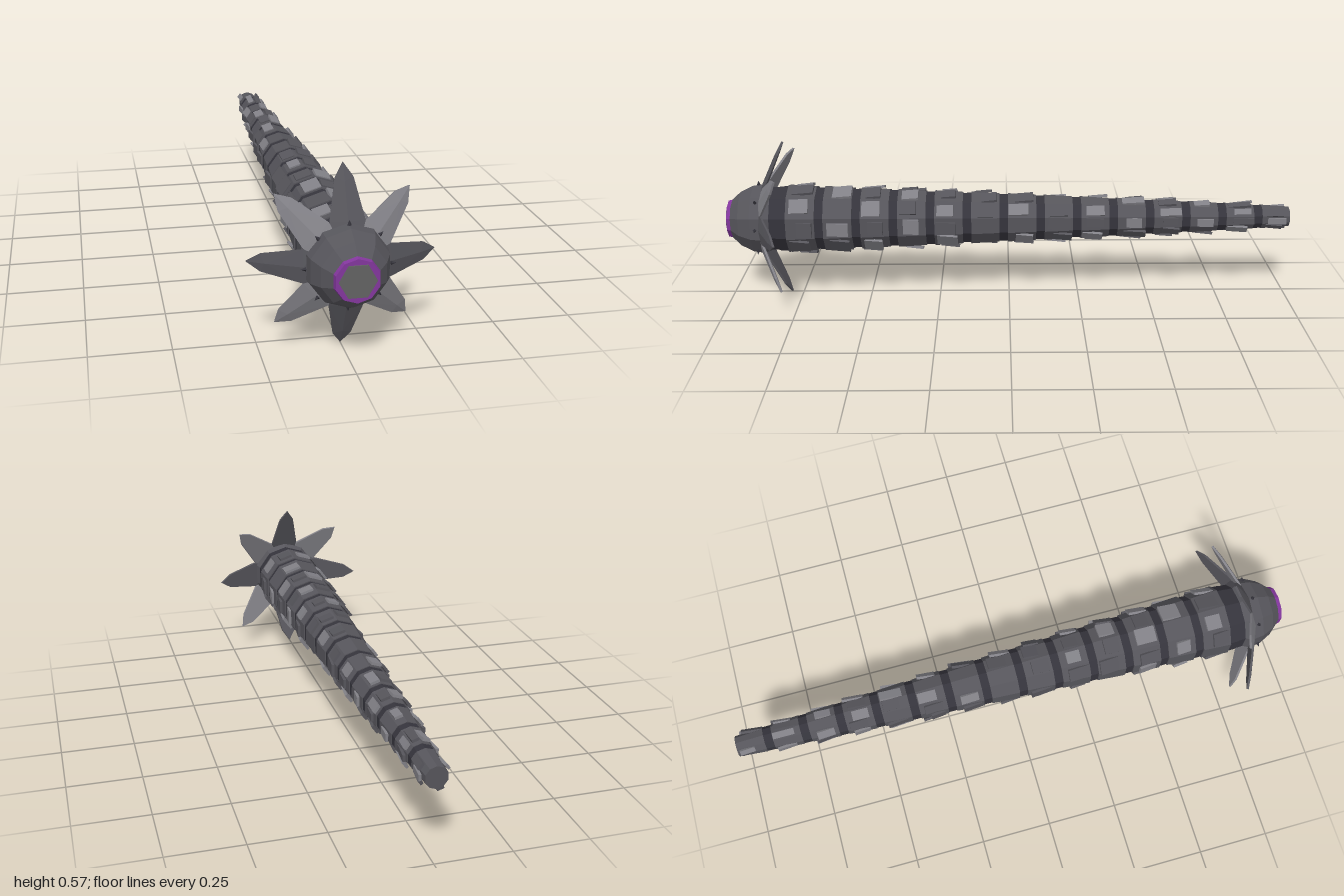
import * as THREE from 'three';
import { ConvexGeometry } from 'three/addons/geometries/ConvexGeometry.js';

const AXIS_Y = 0.285;

function paint(name, color) {
  const m = new THREE.MeshStandardMaterial({ color, flatShading: true });
  m.name = name;
  return m;
}

// small seeded generator for the uneven scales
function seeded(seed) {
  return () => (seed = (seed * 16807) % 2147483647) / 2147483647;
}

export function createModel() {
  const shell = paint('charcoal shell', 0x56555b);
  const dark = paint('dark joint', 0x35343c);
  const pale = paint('pale scale', 0x828187);
  const purple = paint('purple lip', 0x82369c);
  const core = paint('grey core', 0x626262);

  const model = new THREE.Group();
  const body = new THREE.Group();
  body.name = 'wormBody';
  body.position.y = AXIS_Y;
  model.add(body);

  const add = (parent, name, geometry, material) => {
    const mesh = new THREE.Mesh(geometry, material);
    mesh.name = name;
    parent.add(mesh);
    return mesh;
  };
  // cylinder lying along z between two stations
  const drum = (name, zFront, zBack, rFront, rBack, sides, material) => {
    const g = new THREE.CylinderGeometry(rFront, rBack, zFront - zBack, sides);
    g.rotateX(Math.PI / 2);
    g.translate(0, 0, (zFront + zBack) / 2);
    return add(body, name, g, material);
  };
  const radiusAt = z => 0.036 + 0.086 * Math.pow(Math.max(0, (z + 1) / 1.8), 0.88);

  // tapering segments, dark joints and raised scales
  const count = 14, front = 0.81, step = (front + 1) / count;
  const rand = seeded(77);
  for (let i = 0; i < count; i++) {
    const z0 = front - i * step, z1 = z0 - 0.03, z2 = z0 - step;
    const r1 = radiusAt(z1), r2 = radiusAt(z2);
    drum('joint', z0, z1 - 0.005, radiusAt(z0) * 0.97, r1 * 0.99, 10, dark);
    drum('segment', z1, z2, r1 * 1.03, r2 * 1.01, 10, shell);

    for (let k = 0; k < 10; k++) {
      const roll = rand();
      if (roll > 0.75) continue;
      const w = r1 * (0.4 + 0.15 * rand());
      const len = 0.05 + 0.03 * rand();
      const holder = new THREE.Group();
      holder.name = 'scaleMount';
      holder.rotation.z = (k + 0.5) * Math.PI / 5;
      body.add(holder);
      const isPale = (k + i) % 2 === 0 && roll < 0.6;
      const scale = add(holder, 'scale', new THREE.BoxGeometry(w, 0.009, len), isPale ? pale : shell);
      const z = z1 - 0.05 + (rand() - 0.5) * 0.03;
      scale.position.set((rand() - 0.5) * r1 * 0.15, radiusAt(z) * 0.98 + 0.003, z);
      scale.rotation.x = 0.06 + 0.06 * rand();
    }
  }

  // neck and rounded head
  drum('neck', 0.86, 0.79, 0.115, 0.118, 10, dark);
  const profile = [[0, 0.83], [0.112, 0.83], [0.128, 0.865], [0.122, 0.905], [0.1, 0.95], [0.068, 0.985], [0, 0.985]]
    .map(([r, z]) => new THREE.Vector2(r, z));
  const headGeometry = new THREE.LatheGeometry(profile, 10);
  headGeometry.rotateX(Math.PI / 2);
  add(body, 'head', headGeometry, shell);

  // mouth: purple lip around a six-sided core
  drum('mouthLip', 0.996, 0.98, 0.067, 0.071, 10, purple);
  const mouth = drum('mouthCore', 1, 0.992, 0.056, 0.056, 6, core);
  mouth.rotation.z = Math.PI / 2;
  mouth.scale.y = 1;

  // swept-back petals, ridged along the middle
  const outline = [[0.045, 0.095], [0.053, 0.13], [0.028, 0.245], [0, 0.285]];
  const sweep = u => 0.867 - (u - 0.12) * 0.44;
  const points = [];
  for (const [w, u] of outline) {
    for (const side of [-1, 1]) {
      points.push(new THREE.Vector3(side * w, u, sweep(u)));
      points.push(new THREE.Vector3(side * w * 0.95, u * 0.99, sweep(u) - 0.007));
    }
  }
  points.push(new THREE.Vector3(0, 0.13, sweep(0.13) + 0.009));
  points.push(new THREE.Vector3(0, 0.235, sweep(0.235) + 0.006));
  const petalGeometry = new ConvexGeometry(points);

  // petals alternate dark and pale, each with a little thorn before it
  const thornGeometry = new THREE.ConeGeometry(0.007, 0.016, 4);
  for (let i = 0; i < 8; i++) {
    const angle = i * Math.PI / 4;
    const petal = add(body, 'petal', petalGeometry, i % 2 ? pale : shell);
    petal.rotation.z = angle;
    const thorn = add(body, 'thorn', thornGeometry, dark);
    thorn.position.set(-Math.sin(angle) * 0.133, Math.cos(angle) * 0.133, 0.885);
    thorn.rotation.z = angle;
  }
  return model;
}
